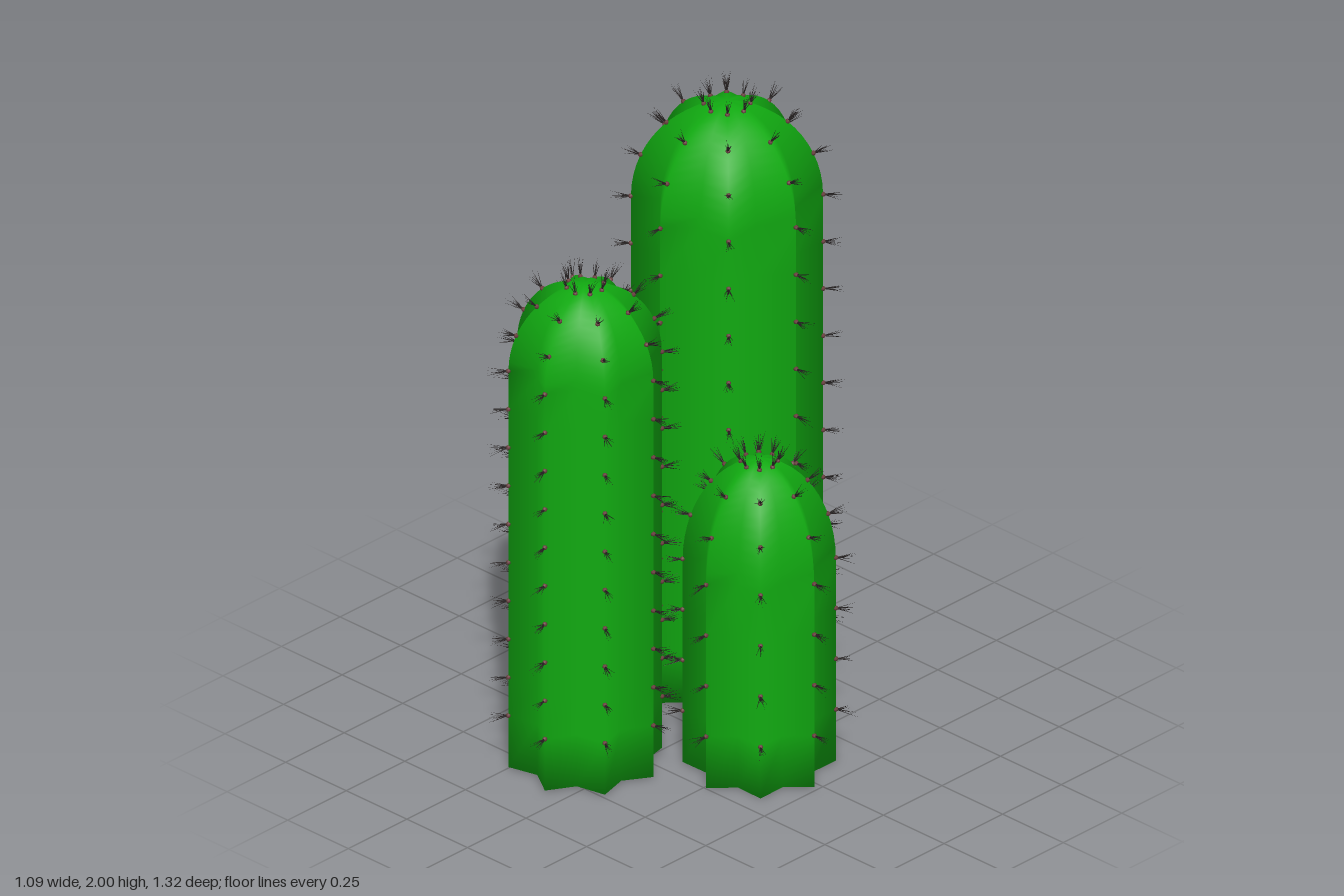
import * as THREE from 'three';
import { mergeGeometries } from 'three/addons/utils/BufferGeometryUtils.js';

const RIBS = 8;
const UP = new THREE.Vector3(0, 1, 0);
const green = new THREE.MeshStandardMaterial({ color: 0x11aa11 });
const needleMat = new THREE.MeshStandardMaterial({ color: 0x2b2626, side: THREE.DoubleSide });
const nubMat = new THREE.MeshStandardMaterial({ color: 0x6b4040 });

function seeded(seed) {
  return () => (seed = (seed * 16807) % 2147483647) / 2147483647;
}

// Star-shaped column with an elliptical dome, one smooth closed surface
function bodyGeometry({ r, valley, base, first, shoulder, top, steps }) {
  const rows = [[1, base]];
  for (let i = 0; i <= steps; i++) rows.push([1, first + (shoulder - first) * i / steps]);
  for (let i = 1; i < 14; i++) {
    const t = (i / 14) * Math.PI / 2;
    rows.push([Math.cos(t), shoulder + (top - shoulder) * Math.sin(t)]);
  }
  const n = RIBS * 2, pos = [], index = [];
  for (const [s, y] of rows) {
    for (let i = 0; i < n; i++) {
      const a = (i / n) * Math.PI * 2;
      const d = s * (i % 2 ? valley : r);
      pos.push(d * Math.cos(a), y, d * Math.sin(a));
    }
  }
  const last = (rows.length - 1) * n, bottom = rows.length * n, pole = bottom + 1;
  pos.push(0, base, 0, 0, top, 0);
  for (let i = 0; i < n; i++) {
    const k = (i + 1) % n;
    for (let j = 0; j < last; j += n) {
      index.push(j + i, j + n + i, j + k, j + k, j + n + i, j + n + k);
    }
    index.push(bottom, i, k, pole, last + k, last + i);
  }
  const g = new THREE.BufferGeometry();
  g.setAttribute('position', new THREE.Float32BufferAttribute(pos, 3));
  g.setIndex(index);
  g.computeVertexNormals();
  return g;
}

// Bundle of thin needles fanning out around +y
function needleCluster(rand) {
  const needles = [];
  for (let i = 0; i < 10; i++) {
    const len = 0.04 + 0.03 * rand();
    const tilt = 0.05 + 0.32 * rand();
    const spin = (i + rand()) * Math.PI * 0.2;
    const g = new THREE.ConeGeometry(0.0016, len, 3, 1, true);
    g.translate(0, len / 2, 0).rotateZ(tilt).rotateY(spin);
    needles.push(g);
  }
  return mergeGeometries(needles);
}

function cactus(name, spec) {
  const { r, first, shoulder, top, steps, x, z, turn, seed } = spec;
  const group = new THREE.Group();
  group.name = name;
  group.position.set(x, 0, z);
  group.rotation.y = turn;

  const body = new THREE.Mesh(bodyGeometry(spec), green);
  body.name = 'ribbedBody';
  group.add(body);

  // Anchor points along each rib: [radius, height, outward slope angle]
  const dome = top - shoulder, anchors = [];
  for (let i = 0; i <= steps; i++) anchors.push([r, first + (shoulder - first) * i / steps, 0]);
  for (const deg of [26, 51, 76]) {
    const t = THREE.MathUtils.degToRad(deg);
    anchors.push([r * Math.cos(t), shoulder + dome * Math.sin(t),
      Math.atan2(Math.sin(t) / dome, Math.cos(t) / r)]);
  }

  const rand = seeded(seed), spines = [], nubs = [];
  for (let k = 0; k < RIBS; k++) {
    const a = (k / RIBS) * Math.PI * 2;
    for (const [d, y, slope] of anchors) {
      const out = new THREE.Vector3(
        Math.cos(a) * Math.cos(slope), Math.sin(slope), Math.sin(a) * Math.cos(slope));
      const m = new THREE.Matrix4().makeRotationFromQuaternion(
        new THREE.Quaternion().setFromUnitVectors(UP, out));
      m.setPosition(d * Math.cos(a), y, d * Math.sin(a));
      spines.push(needleCluster(rand).applyMatrix4(m));
      nubs.push(new THREE.SphereGeometry(0.008, 6, 4).applyMatrix4(m));
    }
  }
  const spineMesh = new THREE.Mesh(mergeGeometries(spines), needleMat);
  spineMesh.name = 'needles';
  const nubMesh = new THREE.Mesh(mergeGeometries(nubs), nubMat);
  nubMesh.name = 'needleBases';
  group.add(spineMesh, nubMesh);
  return group;
}

export function createModel() {
  const model = new THREE.Group();
  model.name = 'cactusCluster';
  model.add(
    cactus('tallCactus', { x: -0.19, z: -0.305, r: 0.285, valley: 0.216, turn: 0,
      base: 0.01, first: 0.18, shoulder: 1.62, top: 1.94, steps: 9, seed: 11 }),
    cactus('middleCactus', { x: -0.125, z: 0.368, r: 0.235, valley: 0.178, turn: 0.235,
      base: 0.005, first: 0.18, shoulder: 1.35, top: 1.615, steps: 9, seed: 23 }),
    cactus('shortCactus', { x: 0.257, z: 0.02, r: 0.227, valley: 0.172, turn: 0,
      base: 0, first: 0.175, shoulder: 0.69, top: 1.03, steps: 3, seed: 37 }),
  );
  return model;
}
